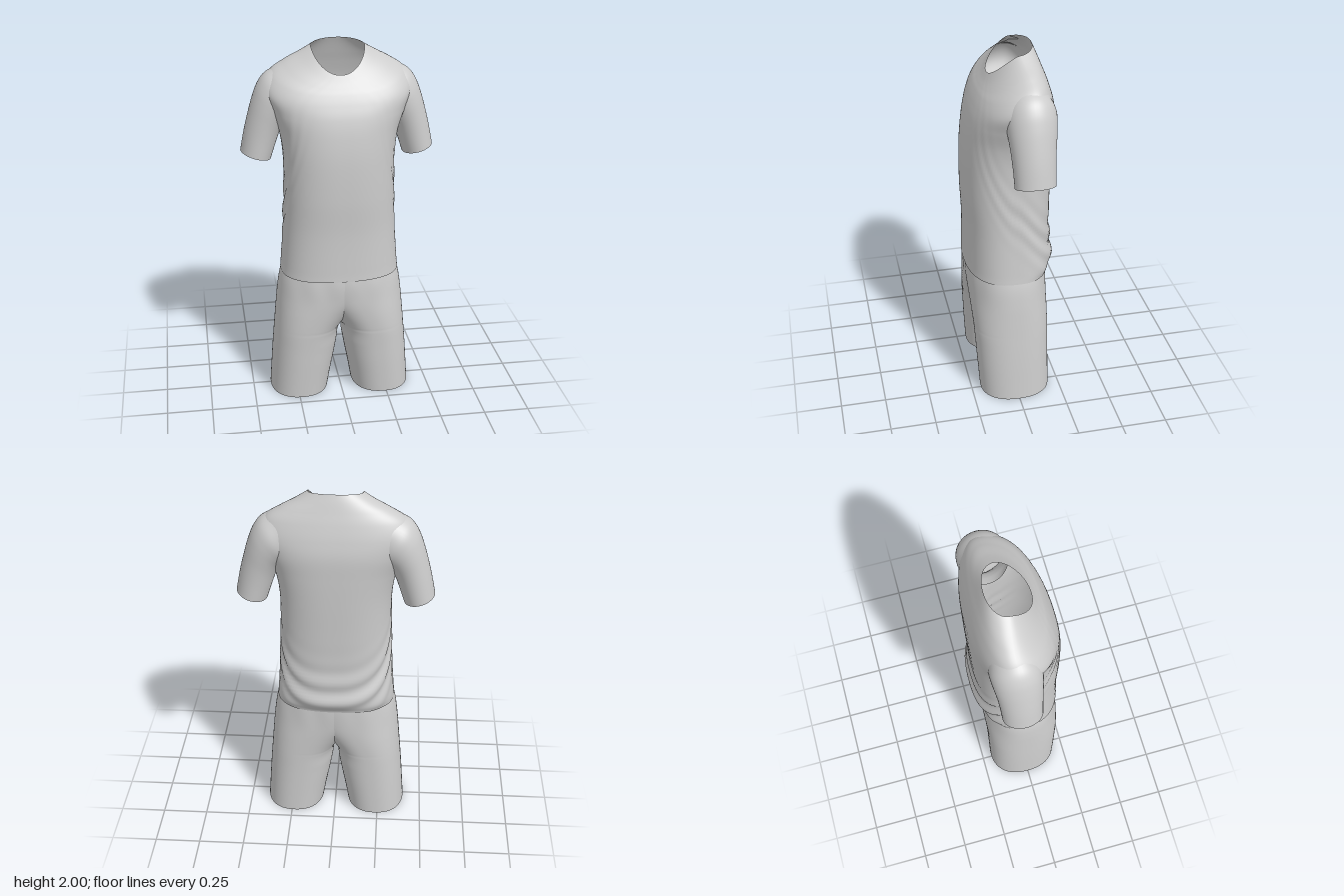
import * as THREE from 'three';

const fabric = new THREE.MeshStandardMaterial({ color: 0xcccccc, side: THREE.DoubleSide });
fabric.name = 'light grey fabric';

// Surface through point(u, v): u runs around the cloth, v runs upwards
function loft(name, point, nu, nv, closed, mirror = false) {
  const cols = closed ? nu : nu + 1;
  const positions = [], indices = [];
  for (let j = 0; j <= nv; j++) {
    for (let i = 0; i < cols; i++) {
      const [x, y, z] = point(i / nu, j / nv);
      positions.push(mirror ? -x : x, y, z);
    }
  }
  for (let j = 0; j < nv; j++) {
    for (let i = 0; i < nu; i++) {
      const a = j * cols + i, b = j * cols + (i + 1) % cols;
      const c = a + cols, d = b + cols;
      if (mirror) indices.push(a, b, c, b, d, c);
      else indices.push(a, c, b, b, c, d);
    }
  }
  const geometry = new THREE.BufferGeometry();
  geometry.setAttribute('position', new THREE.Float32BufferAttribute(positions, 3));
  geometry.setIndex(indices);
  geometry.computeVertexNormals();
  const mesh = new THREE.Mesh(geometry, fabric);
  mesh.name = name;
  return mesh;
}

// Smooth interpolation between cross-section rows, v from 0 to 1
function smoothRows(rows) {
  const times = new Float32Array(rows.map((_, i) => i / (rows.length - 1)));
  const curve = new THREE.CubicInterpolant(times, new Float32Array(rows.flat()), rows[0].length);
  return v => Array.from(curve.evaluate(v));
}

const power = (s, e) => Math.sign(s) * Math.abs(s) ** e;
const bump = (x, width) => Math.exp(-((x / width) ** 2));

// Shirt body: half width, side centre z, front y and z, side y, back y and z, squareness
const bodyRow = smoothRows([
  [0.328, 0.00, 0.735, 0.240, 0.735, 0.725, -0.212, 2.5],
  [0.322, 0.00, 0.80, 0.238, 0.80, 0.80, -0.240, 2.5],
  [0.308, 0.00, 1.00, 0.236, 1.00, 1.00, -0.226, 2.5],
  [0.300, 0.00, 1.20, 0.244, 1.20, 1.20, -0.229, 2.5],
  [0.300, -0.01, 1.40, 0.242, 1.40, 1.40, -0.234, 2.55],
  [0.320, -0.03, 1.54, 0.229, 1.54, 1.56, -0.236, 2.6],
  [0.362, -0.05, 1.64, 0.209, 1.66, 1.68, -0.234, 2.6],
  [0.396, -0.06, 1.71, 0.184, 1.765, 1.77, -0.217, 2.5],
  [0.362, -0.065, 1.76, 0.160, 1.848, 1.85, -0.193, 2.4],
  [0.285, -0.065, 1.79, 0.141, 1.903, 1.91, -0.171, 2.3],
  [0.205, -0.055, 1.82, 0.121, 1.945, 1.96, -0.152, 2.2],
  [0.142, -0.045, 1.855, 0.100, 1.982, 2.00, -0.135, 2.1],
]);

function bodyPoint(u, v) {
  const t = u * Math.PI * 2;
  const [w, zc, yf, zf, ys, yb, zb, n] = bodyRow(v);
  const c = power(Math.cos(t), 2 / n), s = power(Math.sin(t), 2 / n);
  const y = ys + ((s > 0 ? yf : yb) - ys) * Math.abs(s) ** 1.4;
  // Folds hang in a curve across the lower back and climb along the sides
  const a = Math.acos(THREE.MathUtils.clamp(-Math.sin(t), -1, 1));
  const h = y - 0.77 - 0.12 * a * a;
  const fold = 0.009 * bump(h - 0.07, 0.15) * bump(a, 1.7) * Math.sin(h * 48 + Math.cos(t));
  const k = 1 + fold / 0.25;
  return [w * c * k, y, (zc + s * (s > 0 ? zf - zc : zc - zb)) * k];
}

// Sleeve: outer x and y, inner x and y, half depth, centre z
const sleeveRow = smoothRows([
  [0.525, 1.420, 0.362, 1.372, 0.106, -0.061],
  [0.503, 1.530, 0.335, 1.455, 0.110, -0.061],
  [0.478, 1.630, 0.312, 1.520, 0.116, -0.061],
  [0.453, 1.715, 0.285, 1.570, 0.124, -0.062],
  [0.425, 1.785, 0.255, 1.595, 0.130, -0.063],
  [0.385, 1.838, 0.225, 1.610, 0.132, -0.064],
  [0.320, 1.875, 0.200, 1.620, 0.122, -0.065],
]);

function sleevePoint(u, v) {
  const t = u * Math.PI * 2, c = Math.cos(t), s = Math.sin(t);
  const [ox, oy, ix, iy, r, z] = sleeveRow(v);
  return [(ox + ix + (ox - ix) * c) / 2, (oy + iy + (oy - iy) * c) / 2, z + r * s];
}

// Shorts leg, every 0.1 from hem to waist: outer, centre and inner x, front z, back z
const WAIST = 0.8;
const legRow = smoothRows([
  [0.400, 0.235, 0.072, 0.196, -0.196],
  [0.393, 0.226, 0.055, 0.202, -0.196],
  [0.386, 0.215, 0.036, 0.208, -0.196],
  [0.378, 0.203, 0.018, 0.213, -0.196],
  [0.369, 0.185, 0.000, 0.219, -0.197],
  [0.360, 0.140, -0.080, 0.225, -0.200],
  [0.350, 0.075, -0.200, 0.230, -0.203],
  [0.335, 0.025, -0.290, 0.233, -0.205],
  [0.308, 0.000, -0.308, 0.226, -0.203],
]);

// Above the crotch each leg stops at the middle, where it meets the other
function legPoint(u, v) {
  const [outer, centre, inner, zf, zb] = legRow(v);
  const n = 2.3, y = v * WAIST;
  const end = inner > -1e-4 ? Math.PI
    : Math.acos(-((Math.max(0, centre) / (centre - inner)) ** (n / 2)));
  const t = (u * 2 - 1) * end;
  const c = power(Math.cos(t), 2 / n), s = power(Math.sin(t), 2 / n);
  const x = centre + c * (c > 0 ? outer - centre : centre - inner);
  // Small gathers below the waist
  const gather = 1 + 0.01 * bump(y - 0.7, 0.09) * Math.sin(x * 45);
  return [x, y, s * (s > 0 ? zf : -zb) * gather];
}

export function createModel() {
  const model = new THREE.Group();
  model.name = 'sportsOutfit';

  const shirt = new THREE.Group();
  shirt.name = 'shirt';
  shirt.add(loft('shirtBody', bodyPoint, 112, 120, true));

  const shorts = new THREE.Group();
  shorts.name = 'shorts';

  for (const [side, mirror] of [['left', false], ['right', true]]) {
    shirt.add(loft(side + 'Sleeve', sleevePoint, 48, 36, true, mirror));
    shorts.add(loft(side + 'Leg', legPoint, 96, 64, false, mirror));
  }

  model.add(shirt, shorts);
  return model;
}
